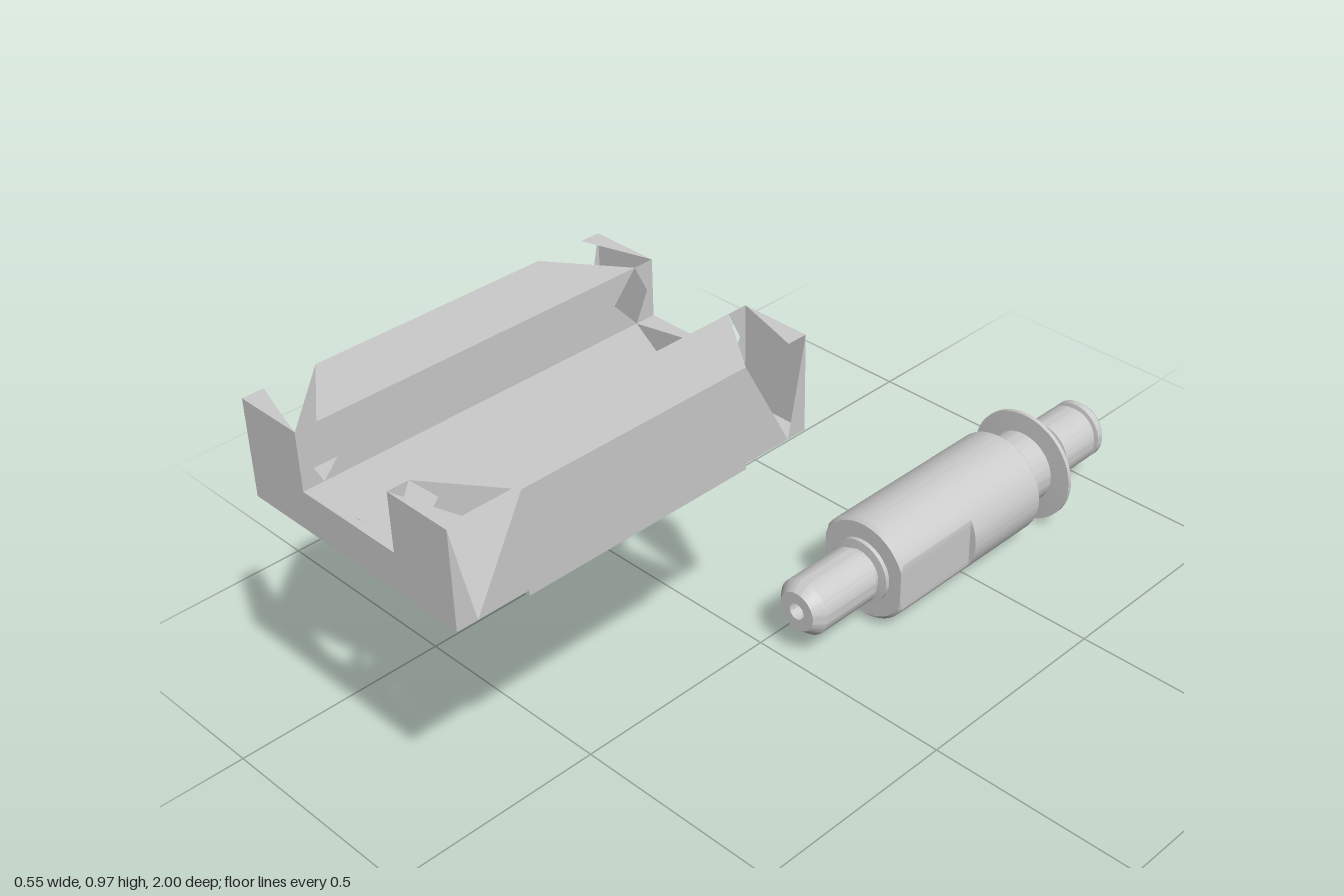
import * as THREE from 'three';
import { toCreasedNormals } from 'three/addons/utils/BufferGeometryUtils.js';

const grey = new THREE.MeshStandardMaterial({ color: 0xcccccc });
const sheetGrey = new THREE.MeshStandardMaterial({ color: 0xcccccc, side: THREE.DoubleSide });

function add(parent, name, geometry, material, x = 0, y = 0, z = 0) {
  const mesh = new THREE.Mesh(geometry, material);
  mesh.name = name;
  mesh.position.set(x, y, z);
  parent.add(mesh);
  return mesh;
}

function lathe(points, segments = 80) {
  return new THREE.LatheGeometry(points.map(([r, h]) => new THREE.Vector2(r, h)), segments);
}

// Thin wall over the line a-b, running in z between three start and three end values
function wall(a, b, starts, ends) {
  const pos = [];
  for (let i = 0; i < 3; i++) {
    const x = a[0] + (b[0] - a[0]) * i / 2, y = a[1] + (b[1] - a[1]) * i / 2;
    pos.push(x, y, starts[i], x, y, ends[i]);
  }
  const g = new THREE.BufferGeometry();
  g.setAttribute('position', new THREE.Float32BufferAttribute(pos, 3));
  g.setIndex([0, 1, 2, 1, 3, 2, 2, 3, 4, 3, 5, 4]);
  g.computeVertexNormals();
  return g;
}

function polygon(points) {
  return new THREE.Shape(points.map(([x, y]) => new THREE.Vector2(x, y)));
}

function createBlock() {
  const block = new THREE.Group();
  block.name = 'channelBlock';
  block.position.z = 0.585;
  const W = 0.277, S = 0.125, B = 0.767, F = 0.85, T = 0.973;
  const FLAT = 0.26, MID = 0.315, TOOTH = 0.37, END = 0.415;
  const neg = (list) => list.map((v) => -v);

  // Each wall: two profile points, extent of the core, start of the end lip
  const both = [TOOTH, MID, TOOTH], lip = [TOOTH, 0.4, TOOTH];
  const walls = [['slotFloor', [-S, F], [S, F], both, lip]];
  for (const s of [-1, 1]) {
    walls.push(
      ['outerWall', [s * W, B], [s * W, T], [TOOTH, MID, FLAT], [TOOTH, 0.393, END]],
      ['railTop', [s * W, T], [s * S, T], [FLAT, MID, TOOTH], [TOOTH, 0.393, END]],
      ['slotWall', [s * S, T], [s * S, F], both, lip]);
  }
  walls.push(['bottomLip', [-W, B], [W, B], null, lip]);
  const end = [END, END, END];
  for (const [name, a, b, core, start] of walls) {
    if (core) add(block, name, wall(a, b, neg(core), core), sheetGrey);
    add(block, name + 'FrontLip', wall(a, b, start, end), sheetGrey);
    add(block, name + 'BackLip', wall(a, b, neg(end), neg(start)), sheetGrey);
  }

  // U-shaped end plates
  const u = polygon([[-W, B], [W, B], [W, T], [S, T], [S, F], [-S, F], [-S, T], [-W, T]]);
  for (const s of [-1, 1]) {
    add(block, 'endPlate', new THREE.ShapeGeometry(u), sheetGrey, 0, 0, s * END);
  }

  // Underside with four blind screw holes
  const hole = (x, z) => new THREE.Path().absarc(x, z, 0.027, 0, Math.PI * 2, true);
  const bottom = polygon([[-W, -TOOTH], [0, -MID], [W, -TOOTH], [W, TOOTH], [0, MID], [-W, TOOTH]]);
  for (const s of [-1, 1]) {
    const pad = polygon([[s * S, -FLAT], [s * W, -FLAT], [s * W, FLAT], [s * S, FLAT]]);
    for (const z of [-0.12, 0.12]) {
      bottom.holes.push(hole(s * 0.2, z));
      pad.holes.push(hole(s * 0.2, z));
      const bore = lathe([[0.027, 0], [0.027, 0.08], [0, 0.09]], 32);
      add(block, 'screwHole', toCreasedNormals(bore, 0.5), sheetGrey, s * 0.2, B, z);
    }
    // Foot pad, its inner edge bevelled
    const g = new THREE.ExtrudeGeometry(pad, { depth: 0.012, bevelEnabled: false, curveSegments: 24 });
    const p = g.attributes.position;
    for (let i = 0; i < p.count; i++) {
      if (p.getZ(i) > 0.006 && Math.abs(p.getX(i)) < S + 0.001) p.setX(i, s * 0.14);
    }
    g.rotateX(Math.PI / 2);
    g.computeVertexNormals();
    add(block, 'footPad', g, grey, 0, B, 0);
  }
  add(block, 'underside', new THREE.ShapeGeometry(bottom, 24).rotateX(Math.PI / 2), sheetGrey, 0, B, 0);
  return block;
}

function createShaft() {
  const shaft = new THREE.Group();
  shaft.name = 'shaft';
  shaft.position.set(0.1, 0.14, 0);

  // Closed profile (radius, z): outside from back to front, then back along the bore
  const profile = [
    [0.045, -1], [0.062, -1], [0.072, -0.988], [0.072, -0.972],
    [0.062, -0.97], [0.062, -0.958], [0.072, -0.956],
    [0.072, -0.85], [0.062, -0.848], [0.062, -0.836], [0.072, -0.834],
    [0.074, -0.812], [0.098, -0.783], [0.137, -0.781], [0.137, -0.771],
    [0.088, -0.769], [0.088, -0.682], [0.12, -0.682], [0.125, -0.677],
    [0.125, -0.4505], [0.125, -0.4495], [0.125, -0.224], [0.117, -0.216],
    [0.077, -0.216], [0.077, -0.206], [0.056, -0.204], [0.056, -0.194],
    [0.067, -0.186], [0.067, -0.03], [0.047, -0.006], [0.02, -0.006],
    [0.02, -0.85], [0.045, -0.88], [0.045, -1],
  ];
  const g = lathe(profile, 128);
  g.rotateX(Math.PI / 2);
  // Two wrench flats on the front half of the body
  const p = g.attributes.position;
  for (let i = 0; i < p.count; i++) {
    if (p.getZ(i) > -0.45) p.setX(i, THREE.MathUtils.clamp(p.getX(i), -0.109, 0.109));
  }
  add(shaft, 'shaftBody', toCreasedNormals(g, 0.45), grey);

  // Set screw under the body
  const screw = lathe([[0.025, 0], [0.025, 0.031], [0.021, 0.035], [0.013, 0.035], [0.013, 0.025], [0, 0.025]], 32);
  screw.rotateX(Math.PI);
  add(shaft, 'setScrew', toCreasedNormals(screw, 0.5), grey, 0, -0.1, -0.615);
  return shaft;
}

export function createModel() {
  const model = new THREE.Group();
  model.name = 'channelBlockAndShaft';
  model.add(createBlock(), createShaft());
  return model;
}
